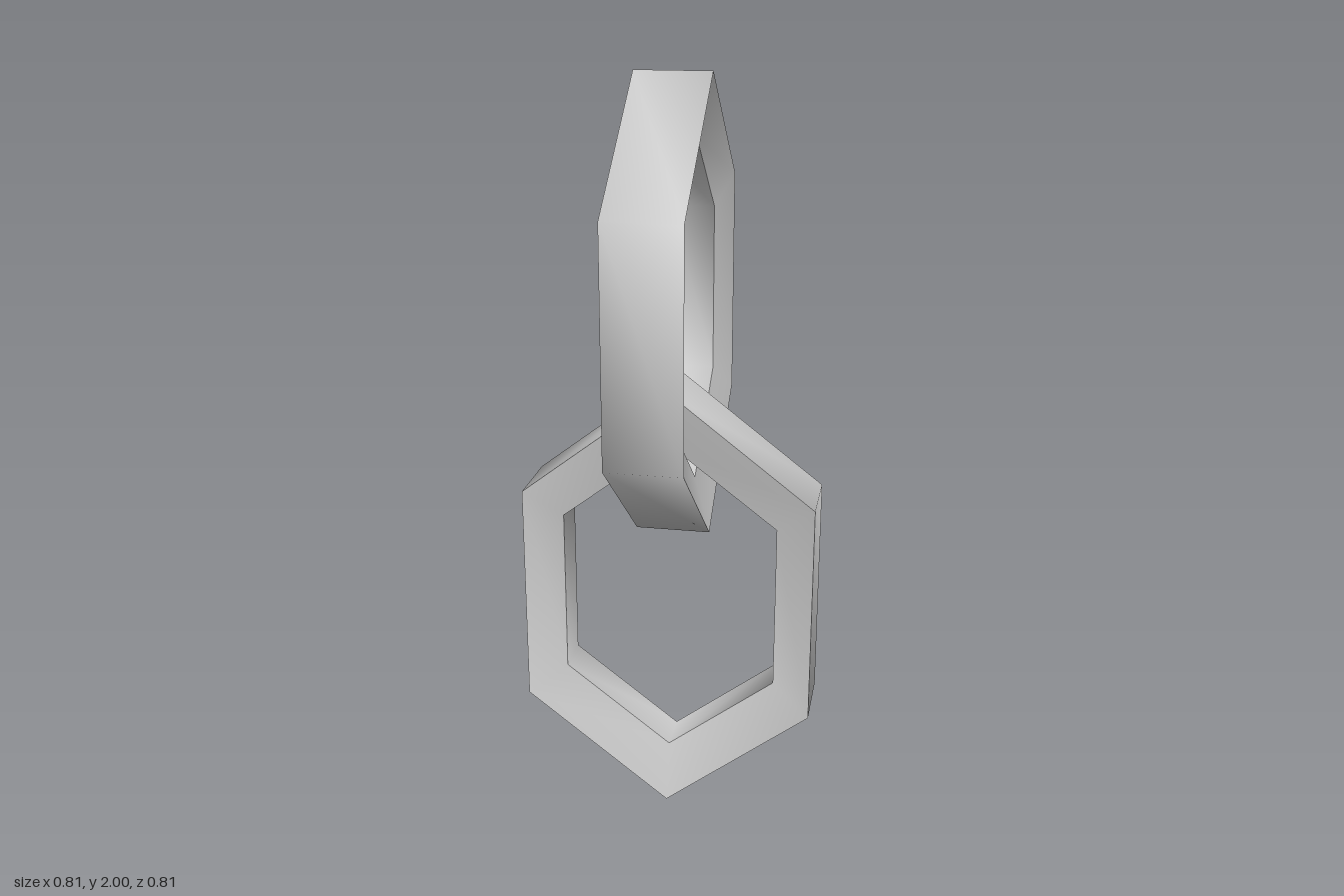
import * as THREE from 'three';
import { mergeGeometries } from 'three/addons/utils/BufferGeometryUtils.js';

// Elongated hexagon loop: half width, half height of the straight side, half height at the tip
function hexagon(w, side, tip) {
  return [[w, -side], [w, side], [0, tip], [-w, side], [-w, -side], [0, -tip]];
}

// One band around the loop, smooth along the loop and sharp at its two edges
function band(from, to) {
  const n = from.loop.length;
  const positions = [];
  const index = [];
  for (let i = 0; i < n; i++) {
    const j = (i + 1) % n;
    positions.push(...from.loop[i], from.z, ...to.loop[i], to.z);
    index.push(2 * i, 2 * j, 2 * j + 1, 2 * i, 2 * j + 1, 2 * i + 1);
  }
  const geometry = new THREE.BufferGeometry();
  geometry.setAttribute('position', new THREE.Float32BufferAttribute(positions, 3));
  geometry.setIndex(index);
  geometry.computeVertexNormals();
  return geometry;
}

// Link with a trapezoid section, wide outside and narrow inside
function linkGeometry() {
  const outer = hexagon(0.393, 0.303, 0.606);
  const inner = hexagon(0.29, 0.227, 0.448);
  const rings = [
    { loop: outer, z: -0.1 },
    { loop: outer, z: 0.1 },
    { loop: inner, z: 0.06 },
    { loop: inner, z: -0.06 },
  ];
  return mergeGeometries(rings.map((ring, i) => band(ring, rings[(i + 1) % 4])));
}

export function createModel() {
  const model = new THREE.Group();
  model.name = 'chainLinks';
  const material = new THREE.MeshStandardMaterial({ color: 0xcccccc });
  const geometry = linkGeometry();
  const turn = -0.325;

  // Two interlocking links, a quarter turn apart
  const addLink = (name, y, angle) => {
    const link = new THREE.Mesh(geometry, material);
    link.name = name;
    link.position.y = y;
    link.rotation.y = angle;
    model.add(link);
  };
  addLink('lowerLink', 0.606, turn);
  addLink('upperLink', 1.394, turn - Math.PI / 2);

  return model;
}
